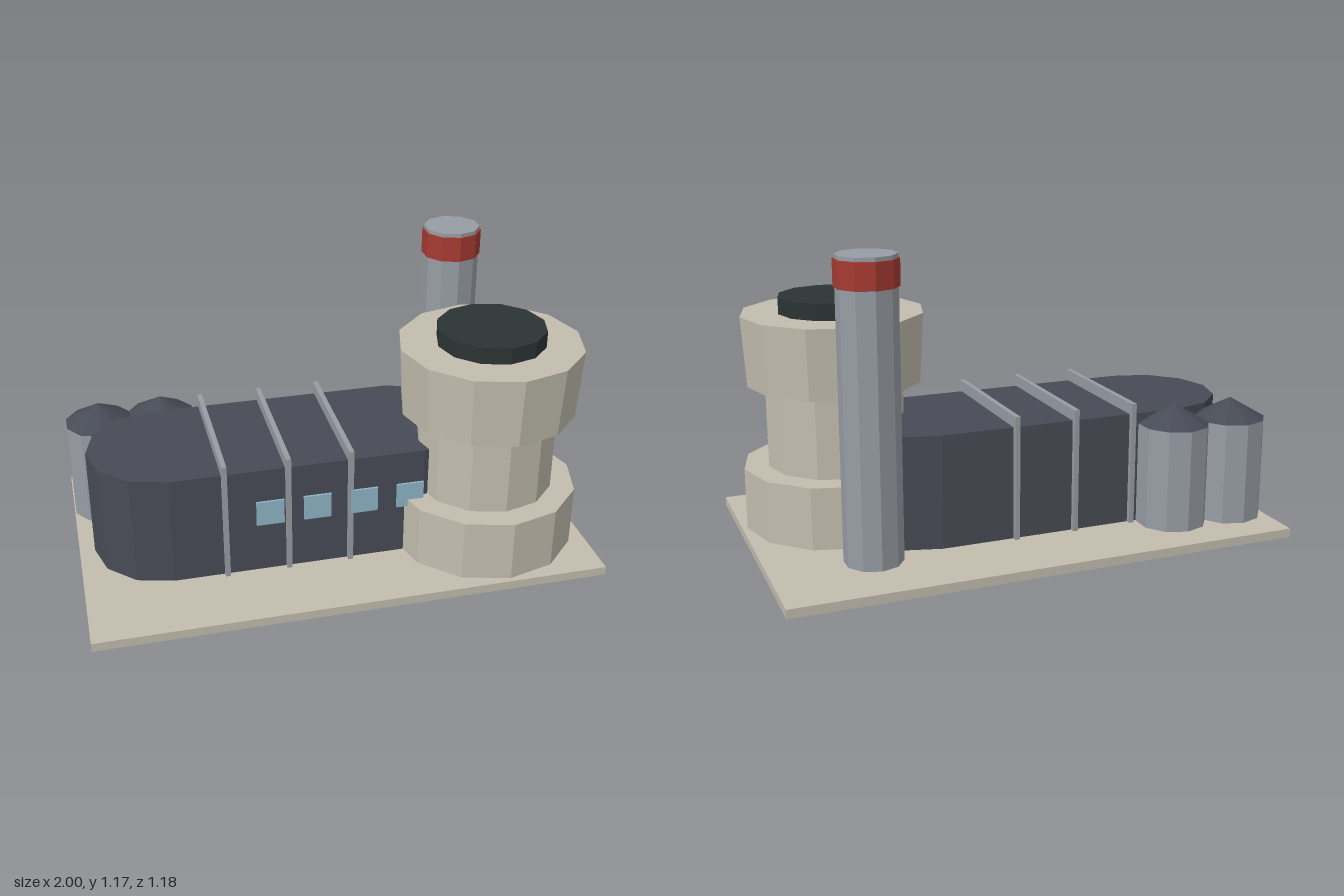
import * as THREE from 'three';

const material = (name, color) => {
  const m = new THREE.MeshStandardMaterial({ color, flatShading: true });
  m.name = name;
  return m;
};

export function createModel() {
  const concrete = material('concrete', 0xc2bdae);
  const slate = material('slate', 0x474b55);
  const steel = material('steel', 0x979da4);
  const red = material('warning red', 0xa63a32);
  const dark = material('dark cap', 0x2b3433);
  const glass = material('window glass', 0x8fb4c6);

  const model = new THREE.Group();
  model.name = 'industrialPlant';

  const add = (parent, name, geometry, mat, x, y, z) => {
    const mesh = new THREE.Mesh(geometry, mat);
    mesh.name = name;
    mesh.position.set(x, y, z);
    parent.add(mesh);
    return mesh;
  };
  const group = (name, x = 0, z = 0) => {
    const g = new THREE.Group();
    g.name = name;
    g.position.set(x, 0, z);
    model.add(g);
    return g;
  };
  // Upright faceted drum between two heights
  const drum = (parent, name, mat, y0, y1, r0, r1, sides) =>
    add(parent, name, new THREE.CylinderGeometry(r1, r0, y1 - y0, sides), mat, 0, (y0 + y1) / 2, 0);

  const ground = 0.035;
  add(model, 'basePlate', new THREE.BoxGeometry(2, ground, 1.185), concrete, 0, ground / 2, 0);

  // Long hall with faceted round ends
  const hall = group('hall');
  const r = 0.283;
  const outline = [];
  for (let i = 0; i <= 6; i++) {
    const a = -Math.PI / 2 + (i * Math.PI) / 6;
    outline.push(new THREE.Vector2(0.335 + r * Math.cos(a), r * Math.sin(a)));
  }
  for (let i = 0; i <= 6; i++) {
    const a = Math.PI / 2 + (i * Math.PI) / 6;
    outline.push(new THREE.Vector2(-0.657 + r * Math.cos(a), r * Math.sin(a)));
  }
  const body = new THREE.ExtrudeGeometry(new THREE.Shape(outline), { depth: 0.48 - ground, bevelEnabled: false });
  body.rotateX(-Math.PI / 2);
  add(hall, 'hallBody', body, slate, 0, ground, 0);

  // Ribs wrapping the hall
  for (const x of [-0.45, -0.205, 0.04]) {
    add(hall, 'rib', new THREE.BoxGeometry(0.02, 0.525 - ground, 0.605), steel, x, (0.525 + ground) / 2, 0);
  }
  // Front windows
  for (let i = 0; i < 4; i++) {
    add(hall, 'window', new THREE.BoxGeometry(0.108, 0.102, 0.009), glass, -0.278 + i * 0.185, 0.302, 0.301);
  }

  // Stepped round tower
  const tower = group('tower', 0.61, 0.203);
  drum(tower, 'towerFoot', concrete, ground, 0.28, 0.37, 0.37, 12);
  drum(tower, 'towerShaft', concrete, 0.28, 0.605, 0.274, 0.274, 12);
  drum(tower, 'towerCollar', concrete, 0.605, 0.88, 0.342, 0.358, 12);
  drum(tower, 'towerCap', dark, 0.88, 0.945, 0.211, 0.211, 12);

  // Chimney with red band
  const chimney = group('chimney', 0.608, -0.293);
  drum(chimney, 'chimneyShaft', steel, ground, 1.172, 0.112, 0.112, 10);
  drum(chimney, 'chimneyBand', red, 1.057, 1.157, 0.118, 0.118, 10);

  // Pair of silos with conical roofs
  for (const x of [-0.862, -0.61]) {
    const silo = group('silo', x, -0.332);
    drum(silo, 'siloBody', steel, ground, 0.44, 0.14, 0.14, 10);
    add(silo, 'siloRoof', new THREE.ConeGeometry(0.14, 0.08, 10), slate, 0, 0.48, 0);
  }

  return model;
}
